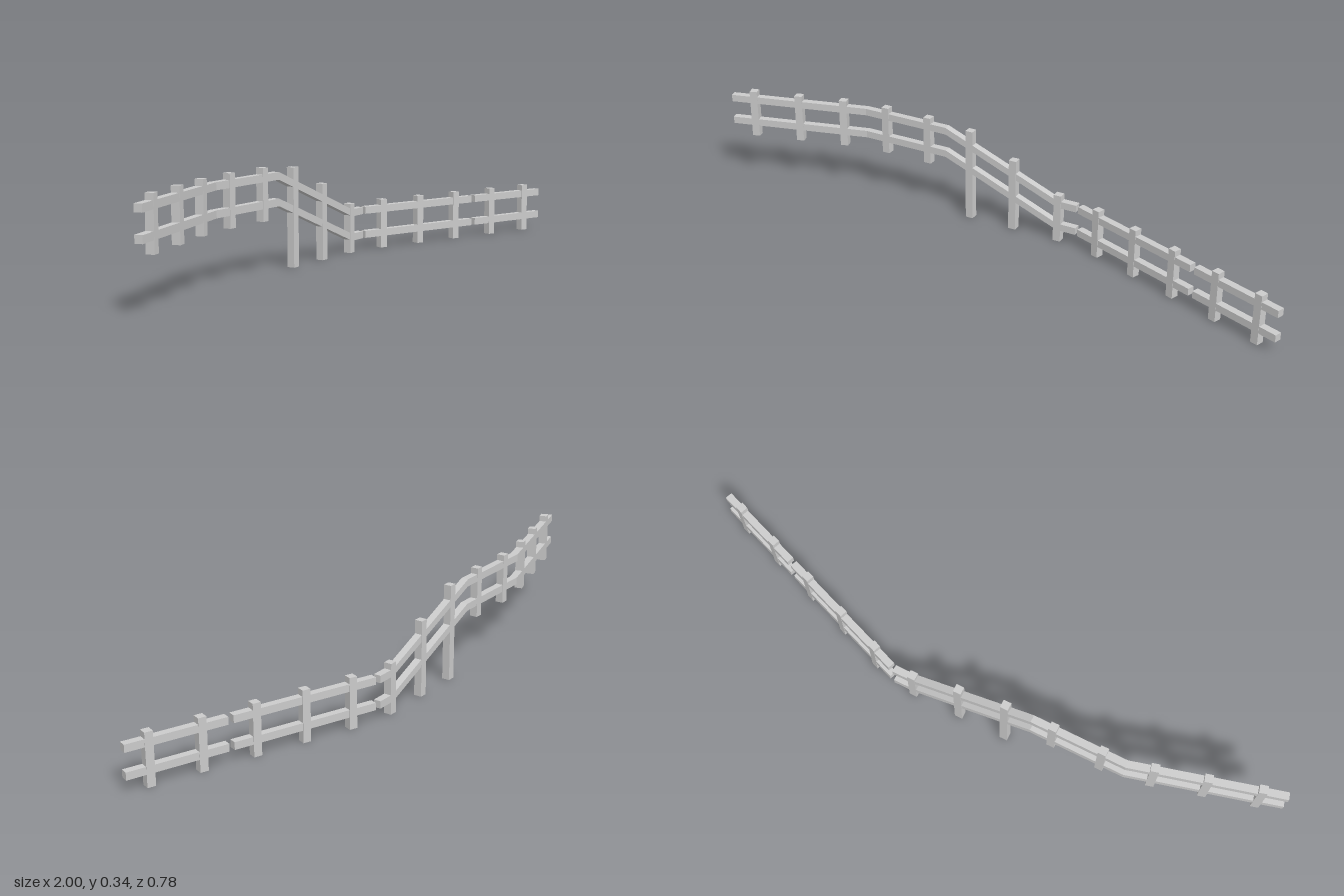
import * as THREE from 'three';

const POST = 0.027, RAIL_W = 0.025, RAIL_H = 0.025;
const RAIL_Y = [0.054, 0.14]; // rail centre heights above the local ground
const RISE = 0.172;           // height of the raised stretch

// Plan line of each straight stretch: z as a function of x
const zOuter = x => 0.052 - 0.852 * (x + 0.605);
const zMiddle = x => 0.052 - 0.473 * (x + 0.605);
const zFar = x => -0.303 - 0.087 * (x - 0.155);

const material = new THREE.MeshStandardMaterial({ color: 0xcccccc, flatShading: true });

// Upright rectangular section swept along a path with mitred corners
function railGeometry(path, y) {
  const dir = (a, b) => new THREE.Vector2(b[0] - a[0], b[2] - a[2]).normalize();
  const pos = [], index = [];
  path.forEach((p, i) => {
    const d1 = dir(path[Math.max(i - 1, 0)], path[Math.max(i, 1)]);
    const last = path.length - 1;
    const d2 = dir(path[Math.min(i, last - 1)], path[Math.min(i + 1, last)]);
    const m = d1.clone().add(d2).normalize();
    const w = RAIL_W / 2 / m.dot(d1);
    for (const [s, h] of [[1, -1], [1, 1], [-1, 1], [-1, -1]]) {
      pos.push(p[0] - m.y * w * s, p[1] + y + h * RAIL_H / 2, p[2] + m.x * w * s);
    }
    if (i === 0) return;
    const a = (i - 1) * 4, b = i * 4;
    for (let k = 0; k < 4; k++) {
      const n = (k + 1) % 4;
      index.push(a + k, b + k, b + n, a + k, b + n, a + n);
    }
  });
  const e = (path.length - 1) * 4;
  index.push(0, 1, 2, 0, 2, 3, e, e + 2, e + 1, e, e + 3, e + 2);
  const indexed = new THREE.BufferGeometry();
  indexed.setAttribute('position', new THREE.Float32BufferAttribute(pos, 3));
  indexed.setIndex(index);
  const geometry = indexed.toNonIndexed();
  geometry.computeVertexNormals();
  return geometry;
}

export function createModel() {
  const fence = new THREE.Group();
  fence.name = 'fence';

  const addPost = (x, line, bottom, top) => {
    const post = new THREE.Mesh(new THREE.BoxGeometry(POST, top - bottom, POST), material);
    post.name = 'post';
    post.position.set(x, (top + bottom) / 2, line(x));
    post.rotation.y = -Math.atan(line(1) - line(0)); // face along the stretch
    fence.add(post);
  };

  // Raised posts
  for (const x of [-0.928, -0.799, -0.672]) addPost(x, zOuter, 0.173, 0.345);
  for (const x of [-0.532, -0.378]) addPost(x, zMiddle, 0.173, 0.345);
  // Posts on the slope, standing on the ground
  addPost(-0.227, zMiddle, 0, 0.332);
  addPost(-0.075, zMiddle, 0, 0.261);
  addPost(0.08, zMiddle, 0, 0.173);
  // Low posts
  for (const x of [0.24, 0.407, 0.577, 0.755, 0.923]) addPost(x, zFar, 0, 0.173);

  // Rails: one bent run down the slope, then two straight low runs
  const runs = {
    slopedRail: [
      [-0.991, RISE, zOuter(-0.991)],
      [-0.605, RISE, zMiddle(-0.605)],
      [-0.311, RISE, zMiddle(-0.311)],
      [0.08, 0, zMiddle(0.08)],
      [0.143, 0, zMiddle(0.143)],
    ],
    lowRail: [[0.157, 0, zFar(0.157)], [0.654, 0, zFar(0.654)]],
    endRail: [[0.671, 0, zFar(0.671)], [0.999, 0, zFar(0.999)]],
  };
  for (const [name, path] of Object.entries(runs)) {
    for (const y of RAIL_Y) {
      const rail = new THREE.Mesh(railGeometry(path, y), material);
      rail.name = name;
      fence.add(rail);
    }
  }
  return fence;
}
